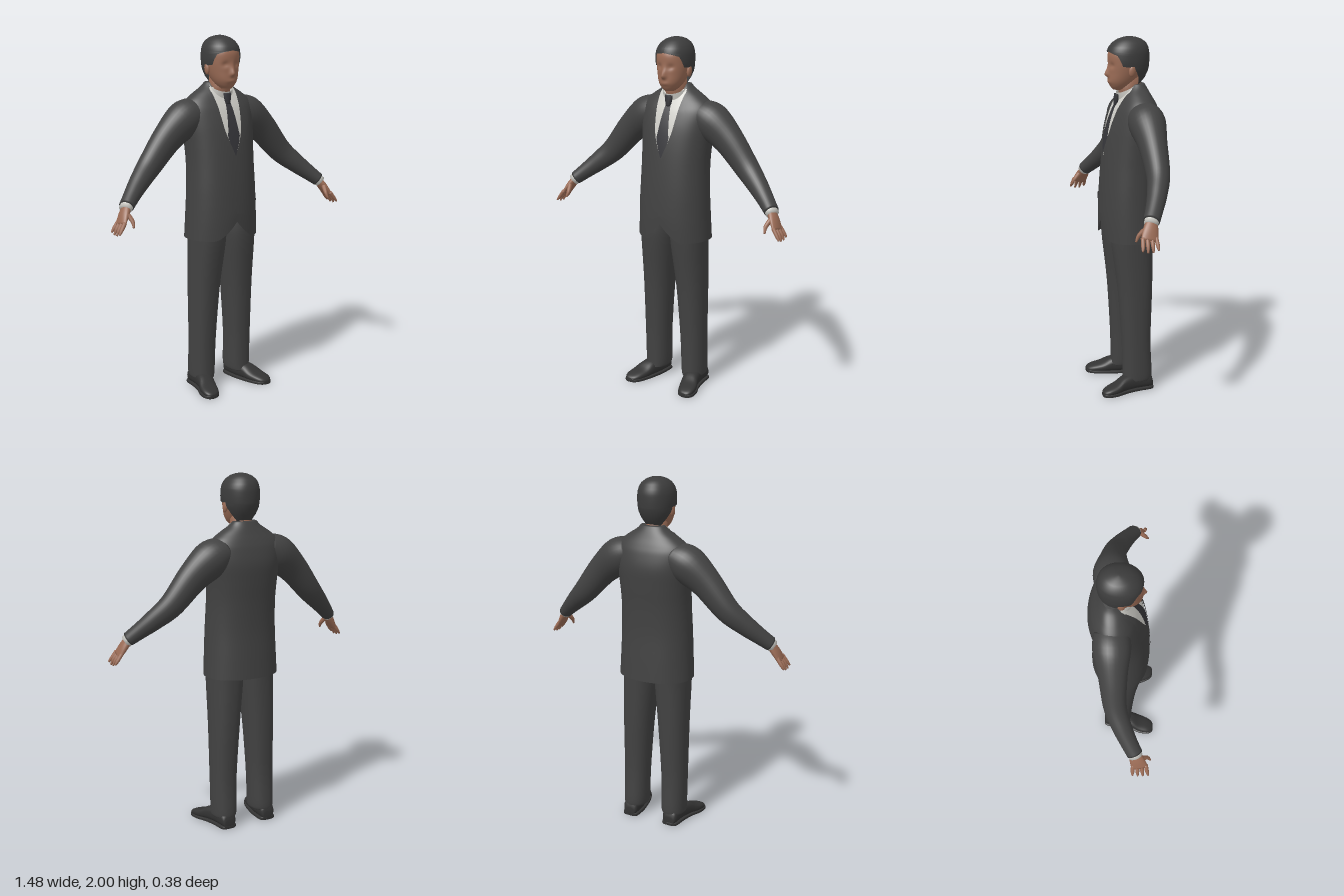
import * as THREE from 'three';

const V = (x, y, z) => new THREE.Vector3(x, y, z);
const paint = (name, color, side = THREE.FrontSide) =>
  Object.assign(new THREE.MeshStandardMaterial({ color, side }), { name });

// Catmull-Rom resampling of table rows, k steps per span
function smooth(rows, k) {
  const out = [];
  for (let i = 0; i < rows.length - 1; i++) {
    const [a, b, c, d] = [rows[Math.max(i - 1, 0)], rows[i], rows[i + 1], rows[Math.min(i + 2, rows.length - 1)]];
    for (let s = 0; s < k; s++) {
      const t = s / k;
      out.push(b.map((p, m) => {
        const cubic = 3 * (p - c[m]) + d[m] - a[m];
        const square = 2 * a[m] - 5 * p + 4 * c[m] - d[m];
        return p + 0.5 * t * (c[m] - a[m] + t * (square + t * cubic));
      }));
    }
  }
  out.push(rows[rows.length - 1]);
  return out;
}

// Superellipse ring; a numeric arc leaves the ring open around the first axis
function ring(c, A, B, n, seg, arc = null) {
  const pow = (v) => Math.sign(v) * Math.abs(v) ** (2 / n);
  return Array.from({ length: seg }, (_, j) => {
    const t = arc === null ? (j / seg) * Math.PI * 2 : arc + (j / (seg - 1)) * (Math.PI - arc) * 2;
    return c.clone().addScaledVector(A, pow(Math.cos(t))).addScaledVector(B, pow(Math.sin(t)));
  });
}

// Surface through a stack of rings
function skin(rings, { closed = true, start = true, end = true } = {}) {
  const m = rings[0].length, pts = rings.flat(), index = [];
  for (let i = 0; i < rings.length - 1; i++) {
    for (let j = 0; j < (closed ? m : m - 1); j++) {
      const a = i * m + j, b = i * m + (j + 1) % m;
      index.push(a, b, b + m, a, b + m, a + m);
    }
  }
  const cap = (i, flip) => {
    const mid = rings[i].reduce((s, p) => s.add(p), V(0, 0, 0)).divideScalar(m);
    const c = pts.push(mid) - 1;
    for (let j = 0; j < m; j++) {
      const a = i * m + j, b = i * m + (j + 1) % m;
      index.push(c, flip ? b : a, flip ? a : b);
    }
  };
  if (start) cap(0, true);
  if (end) cap(rings.length - 1, false);
  const g = new THREE.BufferGeometry().setFromPoints(pts);
  g.setIndex(index);
  g.computeVertexNormals();
  return g;
}

// Upright form: rows of [y, half width, front z, back z, centre x, arc]
const tower = (rows, n, seg, opts) => skin(rows.map(([y, rx, zf, zb, cx = 0, arc = null]) =>
  ring(V(cx, y, (zf + zb) / 2), V(0, 0, (zf - zb) / 2), V(rx, 0, 0), n, seg, arc)), opts);

// Limb along a path: rows of [x, y, z, half depth, half thickness]
function limb(rows, k, seg = 24) {
  const r = smooth(rows, k);
  return skin(r.map(([x, y, z, h, v], i) => {
    const p = r[Math.max(i - 1, 0)], q = r[Math.min(i + 1, r.length - 1)];
    const d = V(q[0] - p[0], q[1] - p[1], q[2] - p[2]).normalize();
    const w = V(0, 0, 1).addScaledVector(d, -d.z).normalize();
    const u = d.clone().cross(w);
    return ring(V(x, y, z), w.multiplyScalar(h), u.multiplyScalar(v), 2, seg);
  }));
}

function reshape(g, rule) {
  const p = g.attributes.position, v = V(0, 0, 0);
  for (let i = 0; i < p.count; i++) {
    rule(v.fromBufferAttribute(p, i));
    p.setXYZ(i, v.x, v.y, v.z);
  }
  g.computeVertexNormals();
  return g;
}

function mirrored(g) {
  const c = g.clone().scale(-1, 1, 1), ix = c.index.array;
  for (let i = 0; i < ix.length; i += 3) [ix[i], ix[i + 1]] = [ix[i + 1], ix[i]];
  return c;
}

const BODY_N = 2.2;
const jacketRows = smooth([
  [0.885, 0.215, 0.145, -0.18], [1.0, 0.21, 0.147, -0.175], [1.15, 0.204, 0.142, -0.168],
  [1.3, 0.2, 0.13, -0.172], [1.42, 0.205, 0.115, -0.182], [1.52, 0.215, 0.095, -0.187],
  [1.6, 0.22, 0.068, -0.172], [1.645, 0.2, 0.045, -0.155], [1.685, 0.15, 0.022, -0.135],
  [1.72, 0.095, 0, -0.118], [1.745, 0.07, -0.02, -0.105]], 5);

// Depth of the jacket front at a given x and y
function frontZ(x, y) {
  let i = 0;
  while (i < jacketRows.length - 2 && jacketRows[i + 1][0] < y) i++;
  const a = jacketRows[i], b = jacketRows[i + 1], t = (y - a[0]) / (b[0] - a[0]);
  const [, rx, zf, zb] = a.map((v, m) => v + (b[m] - v) * t);
  const f = Math.max(0, 1 - Math.abs(x / rx) ** BODY_N) ** (1 / BODY_N);
  return (zf + zb) / 2 + ((zf - zb) / 2) * f;
}

// Thin cloth lying on the jacket front: rows of [y, x0, x1]
const patch = (rows, lift) => skin(smooth(rows, 7).map(([y, x0, x1]) =>
  Array.from({ length: 13 }, (_, j) => {
    const x = x0 + ((x1 - x0) * j) / 12;
    return V(x, y, frontZ(x, y) + lift);
  })), { closed: false, start: false, end: false });

export function createModel() {
  const model = new THREE.Group();
  model.name = 'manInSuit';
  const suit = paint('suitCloth', 0x424242, THREE.DoubleSide);
  const skinTone = paint('skin', 0x9a6b55);
  const hairDark = paint('hair', 0x3c3c3c, THREE.DoubleSide);
  const white = paint('shirt', 0xcdccc6, THREE.DoubleSide);
  const tieDark = paint('tie', 0x36363a, THREE.DoubleSide);
  const leather = paint('shoeLeather', 0x333333);
  const add = (name, g, mat) => {
    const mesh = new THREE.Mesh(g, mat);
    mesh.name = name;
    model.add(mesh);
  };
  const pair = (name, g, mat) => {
    add(name + 'Left', g, mat);
    add(name + 'Right', mirrored(g), mat);
  };

  // Jacket with the front hem cut away at the middle
  add('jacket', reshape(tower(jacketRows, BODY_N, 72, { start: false }), (p) => {
    if (p.z < 0) return;
    const near = Math.max(0, 1 - Math.abs(p.x) / 0.13) ** 1.5;
    p.y += 0.1 * near * THREE.MathUtils.clamp((1.1 - p.y) / 0.215, 0, 1);
  }), suit);
  add('shirtFront', patch([[1.35, -0.002, 0.002], [1.47, -0.05, 0.05], [1.6, -0.07, 0.07],
    [1.69, -0.08, 0.08], [1.72, -0.075, 0.075]], 0.004), white);
  add('tieBlade', patch([[1.355, -0.003, 0.003], [1.45, -0.037, 0.037], [1.5, -0.033, 0.033],
    [1.65, -0.015, 0.015]], 0.007), tieDark);
  add('tieKnot', limb([[0, 1.69, 0.05, 0.012, 0.024], [0, 1.66, 0.052, 0.013, 0.021],
    [0, 1.63, 0.055, 0.01, 0.013]], 3, 16), tieDark);
  pair('lapel', patch([[1.35, 0, 0.006], [1.48, 0.05, 0.09], [1.57, 0.066, 0.125],
    [1.62, 0.071, 0.105], [1.7, 0.08, 0.1]], 0.009), suit);
  add('frontOverlap', patch([[1.03, -0.006, 0.04], [1.35, -0.004, 0.03]], 0.004), suit);
  pair('pocketFlap', patch([[1.08, 0.09, 0.168], [1.12, 0.09, 0.168]], 0.005), suit);

  // Sleeves and shirt cuffs
  pair('sleeve', limb([[0.13, 1.59, -0.06, 0.09, 0.08], [0.21, 1.55, -0.06, 0.1, 0.104],
    [0.32, 1.46, -0.055, 0.077, 0.086], [0.44, 1.325, -0.045, 0.062, 0.069],
    [0.53, 1.245, -0.01, 0.053, 0.056], [0.6, 1.185, 0.028, 0.046, 0.045],
    [0.652, 1.14, 0.06, 0.043, 0.038]], 5, 32), suit);
  pair('shirtCuff', limb([[0.635, 1.155, 0.05, 0.038, 0.034], [0.663, 1.127, 0.066, 0.037, 0.033]], 2), white);

  // Hands
  pair('palm', limb([[0.645, 1.145, 0.055, 0.028, 0.022], [0.676, 1.1, 0.072, 0.04, 0.021],
    [0.704, 1.052, 0.086, 0.045, 0.013]], 4), skinTone);
  for (const [i, o] of [-0.034, -0.011, 0.012, 0.035].entries()) {
    pair('finger' + (i + 1), limb([[0.696, 1.068, 0.085 + o, 0.011, 0.011],
      [0.722, 1.032, 0.087 + 1.12 * o, 0.0105, 0.01],
      [0.738, 0.996 + Math.abs(o) * 0.4, 0.09 + 1.22 * o, 0.005, 0.005]], 4, 10), skinTone);
  }
  pair('thumb', limb([[0.668, 1.108, 0.092, 0.015, 0.013], [0.656, 1.072, 0.127, 0.011, 0.011],
    [0.66, 1.04, 0.144, 0.005, 0.005]], 4, 10), skinTone);

  // Trousers
  pair('trouserLeg', tower(smooth([[0.06, 0.062, 0.052, -0.113, 0.125], [0.1, 0.068, 0.05, -0.118, 0.123],
    [0.3, 0.072, 0.055, -0.11, 0.121], [0.6, 0.083, 0.075, -0.12, 0.112], [0.85, 0.096, 0.105, -0.125, 0.1],
    [0.95, 0.098, 0.11, -0.13, 0.098], [1.05, 0.097, 0.1, -0.13, 0.098]], 5), 2.3, 36), suit);

  // Shoes, turned slightly outwards: rows of [z, centre x, half width, height]
  const shoeRows = smooth([[-0.12, 0.13, 0.03, 0.05], [-0.1, 0.13, 0.045, 0.09], [-0.02, 0.135, 0.048, 0.1],
    [0.05, 0.15, 0.05, 0.09], [0.1, 0.167, 0.054, 0.062], [0.15, 0.18, 0.048, 0.046],
    [0.178, 0.185, 0.033, 0.034], [0.188, 0.187, 0.014, 0.024]], 4);
  const shoe = (grow, low, high, n) => skin(shoeRows.map(([z, cx, hw, h]) => {
    const top = high || h;
    return ring(V(cx, (top + low) / 2, z), V(hw + grow, 0, 0), V(0, (top - low) / 2, 0), n, 28);
  }));
  pair('shoeUpper', shoe(0, 0.006, 0, 2.5), leather);
  pair('shoeSole', shoe(0.004, 0, 0.018, 6), leather);

  // Neck and tilted shirt collar
  add('neck', tower([[1.6, 0.06, 0, -0.09], [1.66, 0.059, 0.026, -0.088], [1.71, 0.058, 0.038, -0.085],
    [1.79, 0.06, 0.05, -0.085]], 2, 32), skinTone);
  add('shirtCollar', new THREE.CylinderGeometry(0.067, 0.08, 0.058, 40, 1, true)
    .rotateX(0.46).translate(0, 1.7, -0.023), white);

  // Head with brow, nose and mouth shaped from the front
  const bell = (v, w) => Math.exp(-((v / w) ** 2));
  add('head', reshape(tower(smooth([[1.715, 0.028, 0.07, 0.005], [1.735, 0.05, 0.085, -0.03],
    [1.765, 0.068, 0.096, -0.06], [1.81, 0.083, 0.095, -0.09], [1.86, 0.092, 0.096, -0.112],
    [1.91, 0.092, 0.094, -0.118], [1.95, 0.078, 0.07, -0.105], [1.98, 0.045, 0.03, -0.07]], 7), 2.1, 88), (p) => {
    if (p.z < 0) return;
    const nose = bell(p.y - 1.797, p.y < 1.797 ? 0.012 : 0.035);
    p.z += 0.022 * bell(p.x, 0.014) * nose + 0.004 * bell(p.x, 0.03) * bell(p.y - 1.757, 0.01);
    p.z -= 0.009 * bell(Math.abs(p.x) - 0.036, 0.018) * bell(p.y - 1.848, 0.015);
  }), skinTone);
  pair('ear', new THREE.SphereGeometry(1, 16, 12).scale(0.012, 0.032, 0.019)
    .rotateX(-0.15).translate(0.092, 1.822, -0.012), skinTone);

  // Hair shell: the arc opens around the face and closes above the forehead
  add('hair', tower([[1.745, 0.062, 0.05, -0.08, 0, 2.3], [1.78, 0.08, 0.07, -0.108, 0, 1.95],
    [1.815, 0.095, 0.09, -0.124, 0, 1.75], [1.838, 0.099, 0.1, -0.13, 0, 1.6], [1.846, 0.1, 0.102, -0.131, 0, 1.12],
    [1.875, 0.102, 0.103, -0.133, 0, 1], [1.903, 0.101, 0.103, -0.133, 0, 0.85], [1.914, 0.1, 0.102, -0.132, 0, 0.5],
    [1.922, 0.099, 0.1, -0.131, 0, 0], [1.945, 0.092, 0.09, -0.126, 0, 0], [1.968, 0.078, 0.07, -0.113, 0, 0],
    [1.986, 0.055, 0.042, -0.088, 0, 0], [1.996, 0.03, 0.01, -0.058, 0, 0], [2, 0.008, -0.015, -0.03, 0, 0]],
    2.1, 57, { closed: false, start: false }), hairDark);

  return model;
}
